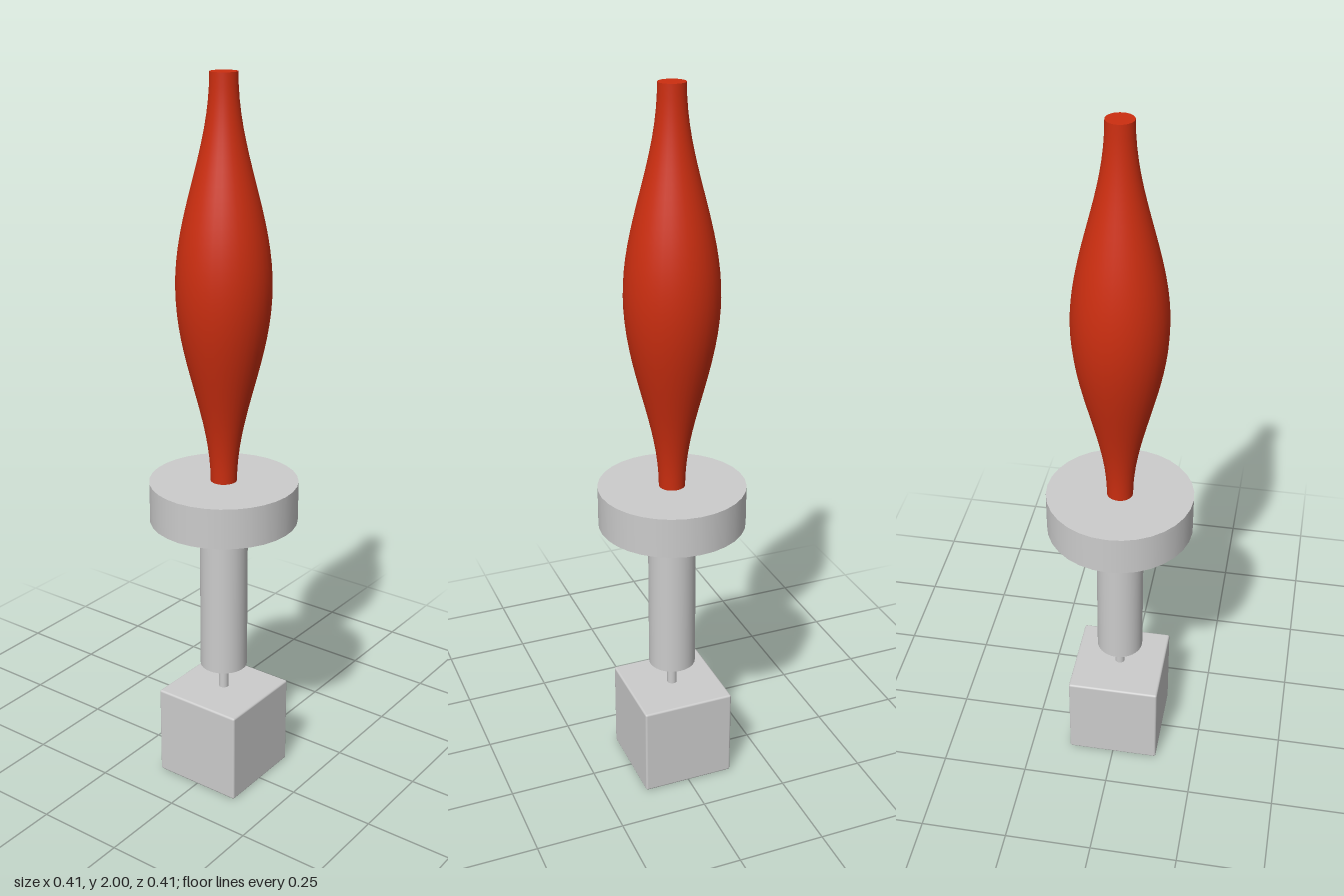
import * as THREE from 'three';
import { RoundedBoxGeometry } from 'three/addons/geometries/RoundedBoxGeometry.js';

const SIDES = 32;

export function createModel() {
  const model = new THREE.Group();
  model.name = 'spindle';
  const grey = new THREE.MeshStandardMaterial({ color: 0xcccccc });
  const red = new THREE.MeshStandardMaterial({ color: 0xcc2e10 });

  const add = (name, geometry, material, y = 0) => {
    const mesh = new THREE.Mesh(geometry, material);
    mesh.name = name;
    mesh.position.y = y;
    model.add(mesh);
  };
  // Upright cylinder between two heights
  const rod = (name, radius, y0, y1) =>
    add(name, new THREE.CylinderGeometry(radius, radius, y1 - y0, SIDES), grey, (y0 + y1) / 2);

  // Block with slightly softened edges
  add('baseBlock', new RoundedBoxGeometry(0.266, 0.266, 0.266, 2, 0.006), grey, 0.135);

  // Thin pin, shaft and disc
  rod('pin', 0.014, 0.26, 0.35);
  rod('shaft', 0.067, 0.345, 0.802);
  rod('disc', 0.205, 0.8, 0.914);

  // Swelling body: narrow neck at both ends, cosine bulge between them
  const bottom = 0.91, top = 2, neck = 0.036, bulge = 0.091, steps = 32;
  const profile = [];
  for (let i = 0; i <= steps; i++) {
    const t = i / steps;
    const r = neck + bulge * 0.5 * (1 - Math.cos(t * Math.PI * 2));
    profile.push(new THREE.Vector2(r, bottom + t * (top - bottom)));
  }
  add('body', new THREE.LatheGeometry(profile, SIDES), red);

  // Flat ends of the body
  for (const [name, y, turn] of [['bodyTop', top, -1], ['bodyBottom', bottom, 1]]) {
    const cap = new THREE.CircleGeometry(neck, SIDES).rotateX(turn * Math.PI / 2);
    add(name, cap, red, y);
  }

  return model;
}
